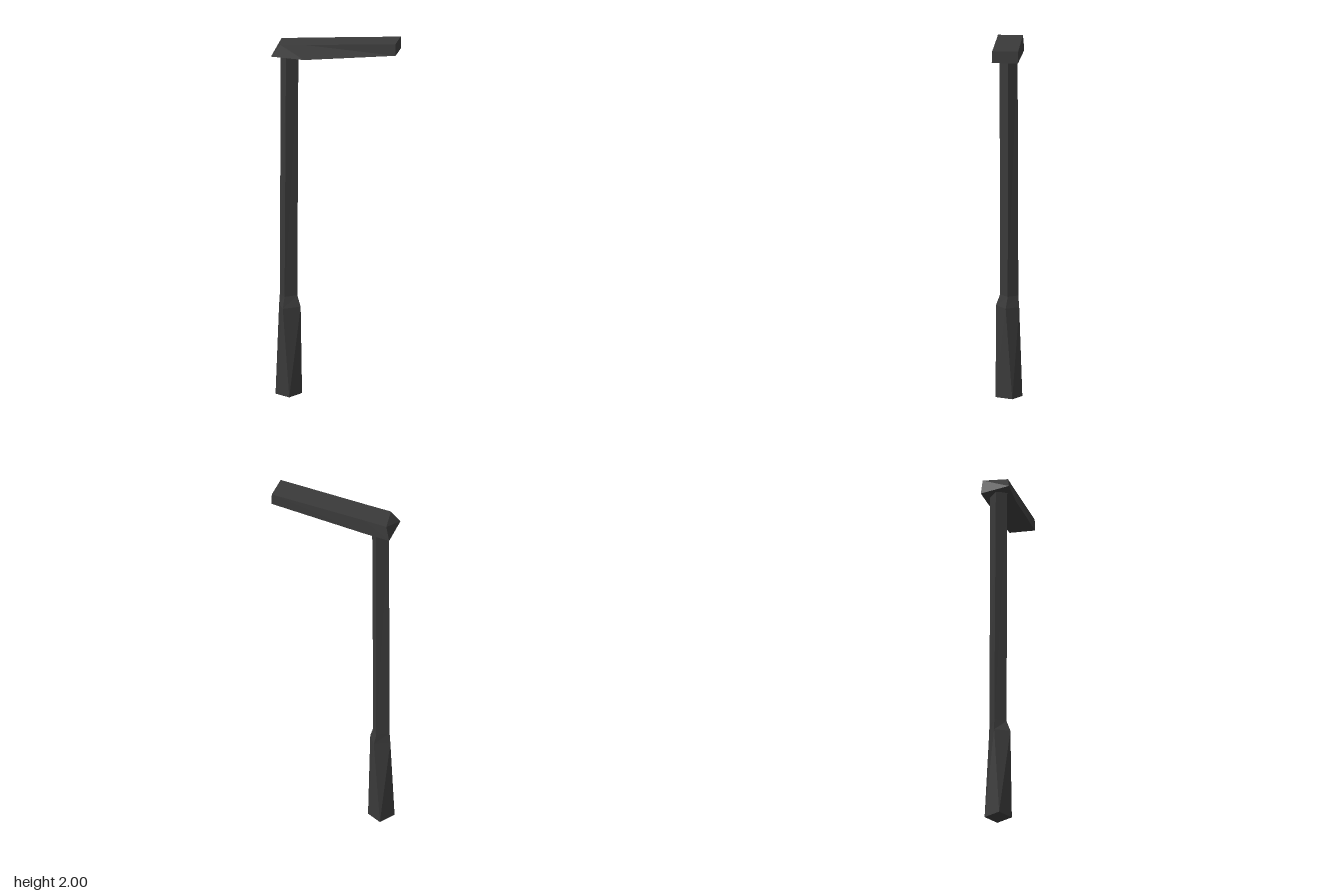
import * as THREE from 'three';

// Flat-faced solid through rings of points, listed anticlockwise as seen from the last ring.
function loft(rings, name, material) {
  const out = [];
  const tri = (a, b, c) => out.push(...a, ...b, ...c);
  const n = rings[0].length;
  for (let r = 0; r < rings.length - 1; r++) {
    const a = rings[r], b = rings[r + 1];
    for (let i = 0; i < n; i++) {
      const j = (i + 1) % n;
      tri(a[i], a[j], b[j]);
      tri(a[i], b[j], b[i]);
    }
  }
  const first = rings[0], last = rings[rings.length - 1];
  for (let i = 1; i < n - 1; i++) {
    tri(first[0], first[i + 1], first[i]);
    tri(last[0], last[i], last[i + 1]);
  }
  const geometry = new THREE.BufferGeometry();
  geometry.setAttribute('position', new THREE.Float32BufferAttribute(out, 3));
  geometry.computeVertexNormals();
  const mesh = new THREE.Mesh(geometry, material);
  mesh.name = name;
  return mesh;
}

// Level ring at height y from [x, z] corners: front, right, back, left.
const level = (y, corners) => corners.map(([x, z]) => [x, y, z]);

export function createModel() {
  const group = new THREE.Group();
  group.name = 'streetLamp';
  const darkMetal = new THREE.MeshStandardMaterial({ color: 0x3a3a3a, flatShading: true });
  darkMetal.name = 'darkMetal';

  // Twisted square base with a sloping shoulder up to the pole
  const collar = level(0.55, [[-0.27, 0.048], [-0.21, 0.005], [-0.247, -0.05], [-0.308, -0.01]]);
  group.add(loft([
    level(0, [[-0.24, 0.07], [-0.19, -0.02], [-0.275, -0.07], [-0.325, 0.02]]),
    level(0.49, [[-0.275, 0.07], [-0.19, 0.015], [-0.235, -0.055], [-0.312, -0.01]]),
    collar,
  ], 'base', darkMetal));

  // Slim square pole
  group.add(loft([
    collar,
    level(1.89, [[-0.262, 0.05], [-0.205, 0.003], [-0.245, -0.046], [-0.302, -0.003]]),
  ], 'pole', darkMetal));

  // Lamp arm, rising to its tip; corners: bottom front, bottom back, top back, top front
  group.add(loft([
    [[-0.338, 1.89, 0.076], [-0.33, 1.865, -0.078], [-0.312, 1.948, -0.072], [-0.29, 1.953, 0.06]],
    [[-0.16, 1.882, 0.074], [-0.2, 1.875, -0.076], [-0.18, 1.96, -0.072], [-0.16, 1.962, 0.061]],
    [[0.335, 1.937, 0.068], [0.335, 1.937, -0.071], [0.333, 2, -0.072], [0.333, 2, 0.066]],
  ], 'lampArm', darkMetal));

  return group;
}
